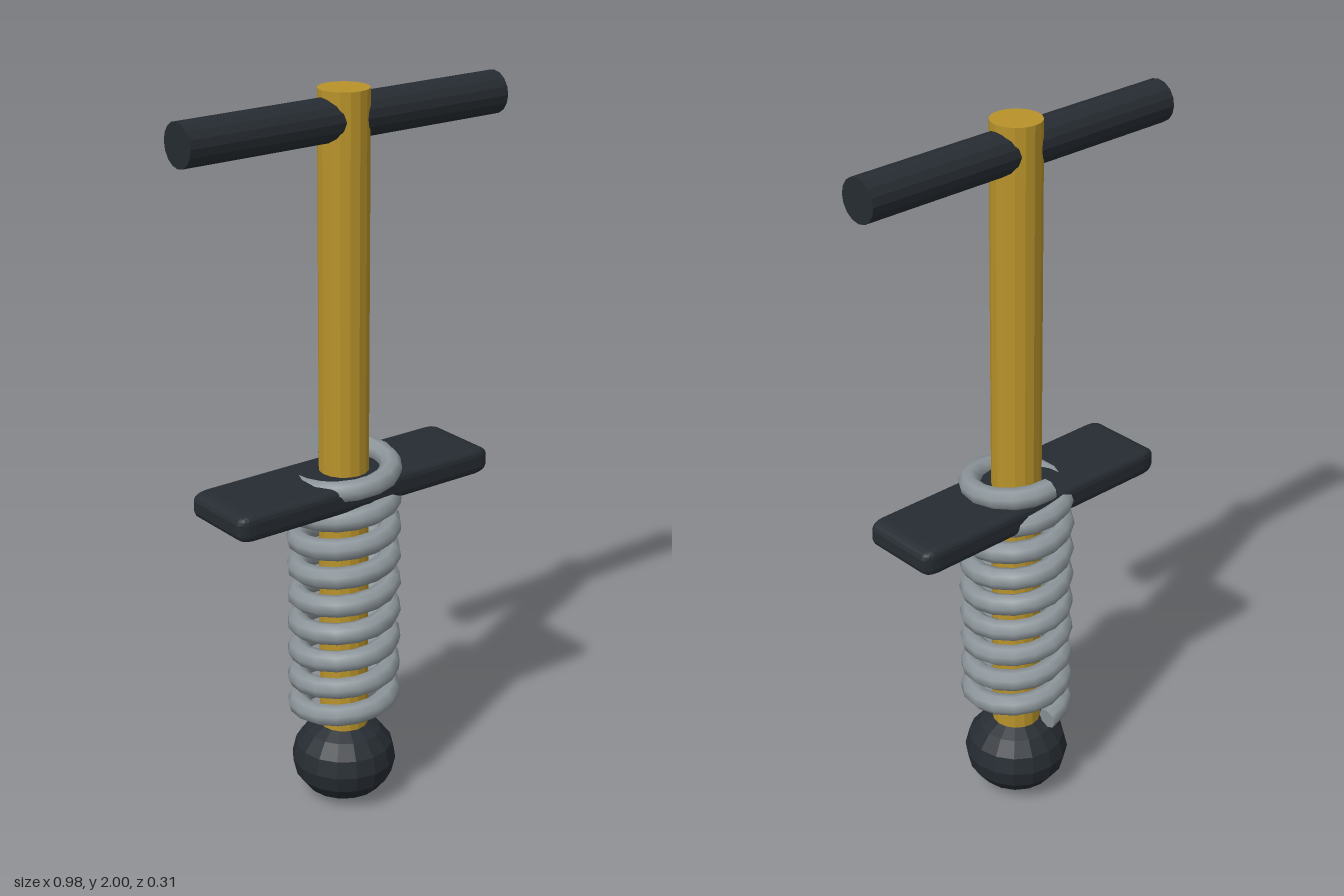
import * as THREE from 'three';
import { RoundedBoxGeometry } from 'three/addons/geometries/RoundedBoxGeometry.js';

// Rising coil that starts and ends at the back
class Coil extends THREE.Curve {
  constructor(radius, bottom, top, turns) {
    super();
    Object.assign(this, { radius, bottom, top, turns });
  }
  getPoint(t, target = new THREE.Vector3()) {
    const a = Math.PI + t * this.turns * Math.PI * 2;
    return target.set(
      this.radius * Math.sin(a),
      this.bottom + (this.top - this.bottom) * t,
      this.radius * Math.cos(a)
    );
  }
}

export function createModel() {
  const model = new THREE.Group();
  model.name = 'pogoStick';
  const gold = new THREE.MeshStandardMaterial({ color: 0xb8922a, flatShading: true });
  const dark = new THREE.MeshStandardMaterial({ color: 0x262c32, flatShading: true });
  const steel = new THREE.MeshStandardMaterial({ color: 0x8c959a });

  const add = (name, geometry, material, parent = model) => {
    const mesh = new THREE.Mesh(geometry, material);
    mesh.name = name;
    parent.add(mesh);
    return mesh;
  };

  // Central pole
  add('pole', new THREE.CylinderGeometry(0.067, 0.067, 1.78, 16), gold).position.y = 1.11;

  // Crossbar handle
  const handle = add('handle', new THREE.CylinderGeometry(0.057, 0.057, 0.98, 16), dark);
  handle.rotation.z = Math.PI / 2;
  handle.position.y = 1.925;

  // Foot platform with bevels stretched along its length
  const platform = add('footPlatform', new RoundedBoxGeometry(0.41, 0.075, 0.234, 2, 0.022), dark);
  platform.scale.x = 2;
  platform.position.y = 0.948;

  // Squashed rubber ball foot
  const foot = add('ballFoot', new THREE.SphereGeometry(0.145, 16, 8), dark);
  foot.scale.y = 0.122 / 0.145;
  foot.position.y = 0.122;

  // Spring with closed wire ends
  const spring = new THREE.Group();
  spring.name = 'spring';
  model.add(spring);
  const coil = new Coil(0.126, 0.28, 1.021, 9);
  add('springWire', new THREE.TubeGeometry(coil, 144, 0.03, 8), steel, spring);
  for (const t of [0, 1]) {
    const cap = add('springEnd', new THREE.CircleGeometry(0.03, 8), steel, spring);
    const point = coil.getPoint(t);
    const outward = coil.getTangent(t).multiplyScalar(t ? 1 : -1);
    cap.position.copy(point);
    cap.lookAt(point.clone().add(outward));
  }

  return model;
}
